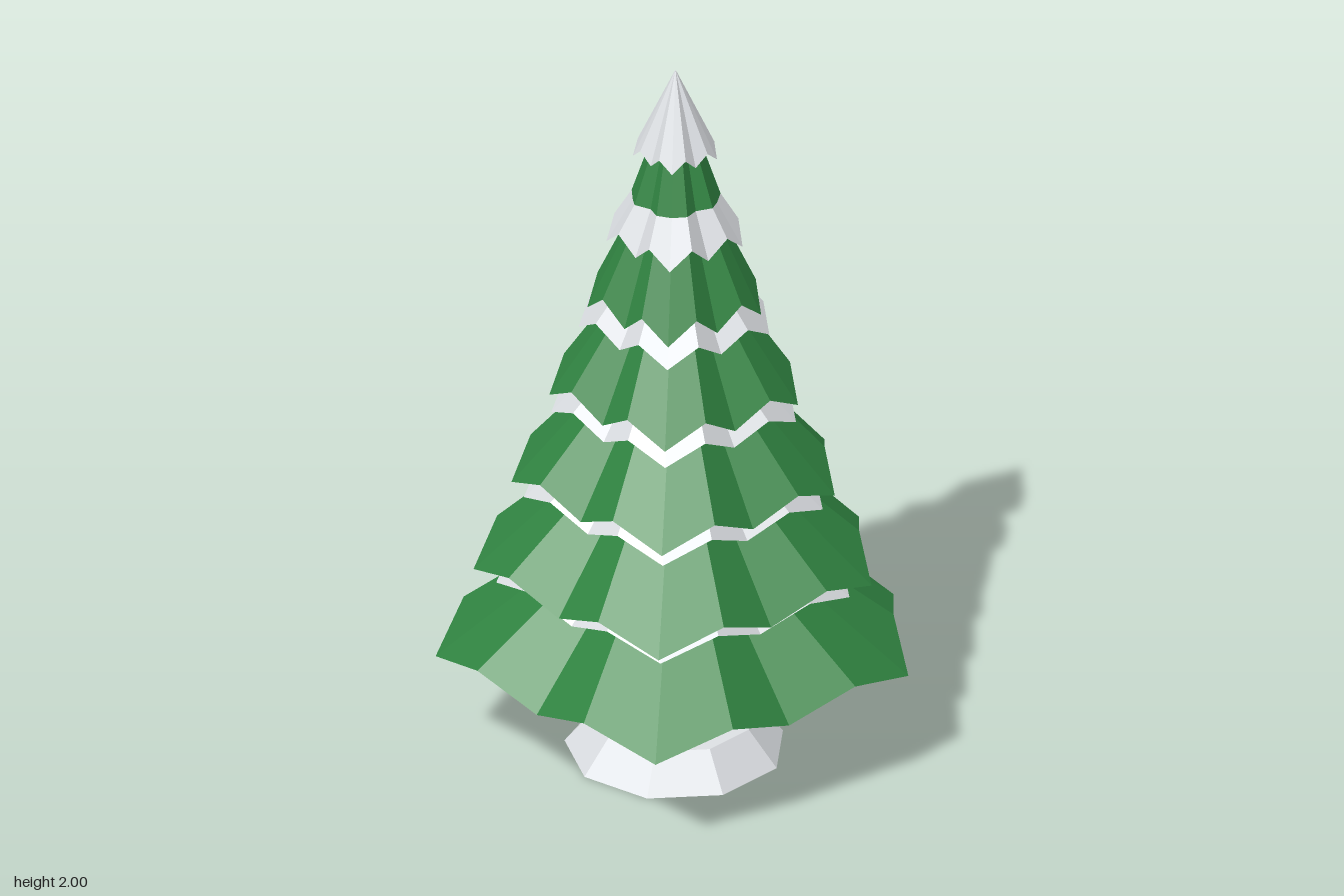
import * as THREE from 'three';

const SIDES = 18;

// Open cone whose hem zigzags up and down and swells in and out
function skirt(radius, low, zigzag, apexY) {
  const hem = i => {
    const a = (i / SIDES) * Math.PI * 2;
    const r = radius * (1 + 0.1 * Math.sin(4.5 * a));
    return [Math.cos(a) * r, low + (i % 2 ? 0 : zigzag), Math.sin(a) * r];
  };
  const points = [];
  for (let i = 0; i < SIDES; i++) {
    points.push(0, apexY, 0, ...hem(i + 1), ...hem(i));
  }
  const geometry = new THREE.BufferGeometry();
  geometry.setAttribute('position', new THREE.Float32BufferAttribute(points, 3));
  geometry.computeVertexNormals();
  return geometry;
}

// Faceted nine-sided tapered post with a corner at the back
function post(top, bottom, y0, y1) {
  const geometry = new THREE.CylinderGeometry(top, bottom, y1 - y0, 9, 1, false, Math.PI)
    .translate(0, (y0 + y1) / 2, 0).toNonIndexed();
  geometry.computeVertexNormals();
  return geometry;
}

export function createModel() {
  const green = new THREE.MeshStandardMaterial({ color: 0x318542, side: THREE.DoubleSide });
  green.name = 'needle green';
  const white = new THREE.MeshStandardMaterial({ color: 0xdde0e4, side: THREE.DoubleSide });
  white.name = 'snow white';
  const brown = new THREE.MeshStandardMaterial({ color: 0x7a4a2b });
  brown.name = 'bark brown';

  const tree = new THREE.Group();
  tree.name = 'snowyTree';
  const add = (name, geometry, material) => {
    const mesh = new THREE.Mesh(geometry, material);
    mesh.name = name;
    mesh.position.x = 0.018;
    tree.add(mesh);
  };

  // Snow mound and trunk
  add('snowMound', post(0.207, 0.286, 0, 0.095), white);
  add('trunk', post(0.046, 0.07, 0.09, 0.6), brown);

  // Six branch tiers, each shrinking towards the top
  for (let i = 0; i < 6; i++) {
    const low = 0.295 + i * 0.253;
    add('branchTier' + (i + 1), skirt(0.562 - i * 0.0888, low, 0.062, Math.min(low + 0.51, 1.98)), green);
  }

  // Snow layers peeking out below the upper tiers
  for (let i = 0; i < 5; i++) {
    const low = 0.505 + i * 0.249;
    add('snowLayer' + (i + 1), skirt(0.42 - i * 0.0645, low, 0.05, low + 0.4 - i * 0.02), white);
  }

  // Snow cap at the tip
  add('snowCap', skirt(0.1, 1.75, 0.032, 2), white);

  return tree;
}
